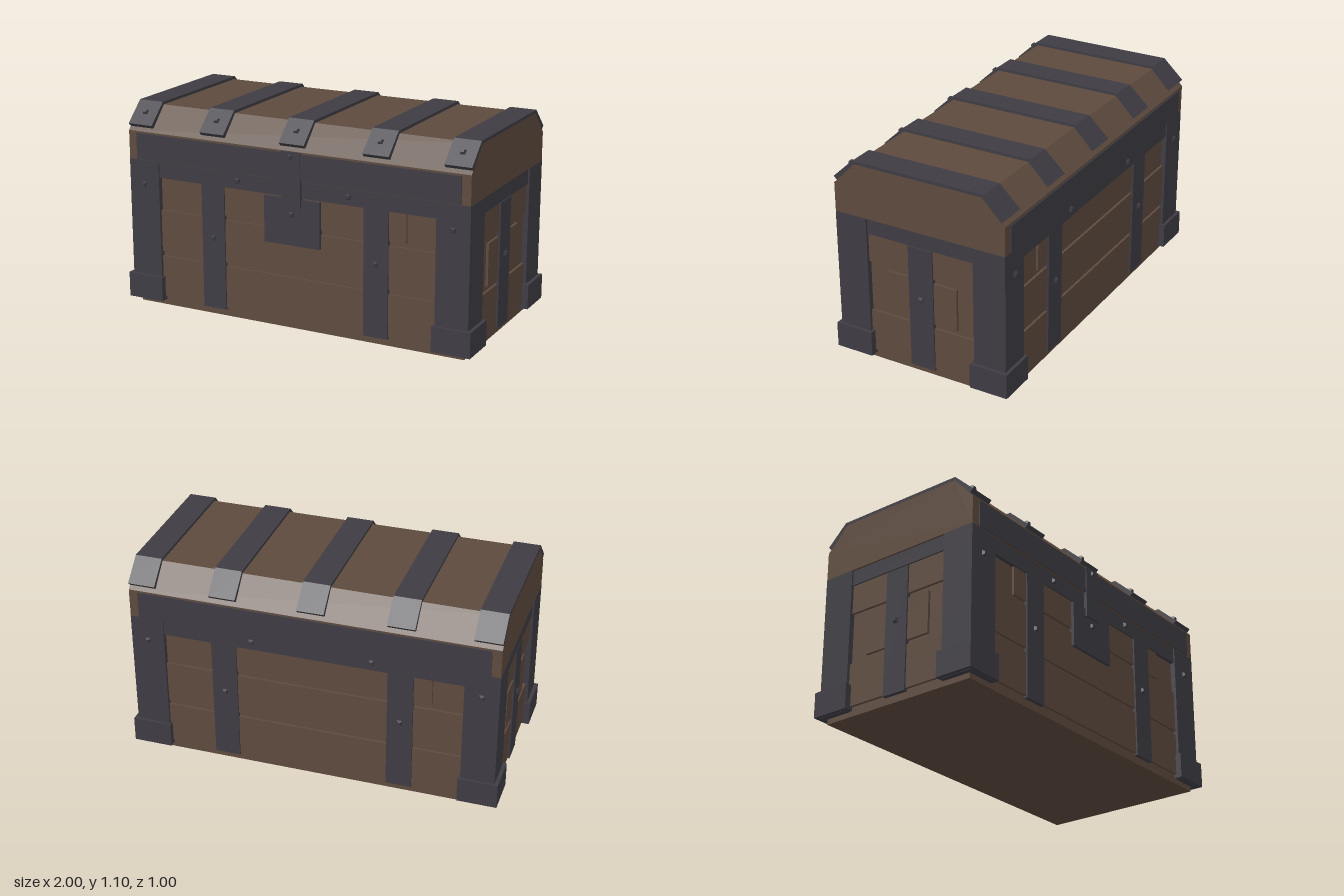
import * as THREE from 'three';

export function createModel() {
  const wood = new THREE.MeshStandardMaterial({ color: 0x5d4a3e });
  wood.name = 'brown wood';
  const iron = new THREE.MeshStandardMaterial({ color: 0x3e3c43 });
  iron.name = 'dark iron';

  const chest = new THREE.Group();
  chest.name = 'chest';

  const add = (name, geometry, material, parent = chest) => {
    const mesh = new THREE.Mesh(geometry, material);
    mesh.name = name;
    parent.add(mesh);
    return mesh;
  };

  // Box given by its minimum and maximum corners
  const box = (name, material, x0, x1, y0, y1, z0, z1, parent = chest) => {
    const mesh = add(name, new THREE.BoxGeometry(x1 - x0, y1 - y0, z1 - z0), material, parent);
    mesh.position.set((x0 + x1) / 2, (y0 + y1) / 2, (z0 + z1) / 2);
    return mesh;
  };

  // Extrudes a [z, y] outline along x, centred on x
  const prism = (name, material, outline, x, width) => {
    const shape = new THREE.Shape(outline.map(([z, y]) => new THREE.Vector2(z, y)));
    const geometry = new THREE.ExtrudeGeometry(shape, { depth: width, bevelEnabled: false });
    geometry.translate(0, 0, -width / 2).rotateY(-Math.PI / 2);
    const mesh = add(name, geometry, material);
    mesh.position.x = x;
    return mesh;
  };

  // Four-sided stud standing on a +z surface
  const studGeometry = new THREE.CylinderGeometry(0.01, 0.02, 0.014, 4)
    .rotateY(Math.PI / 4).rotateX(Math.PI / 2).translate(0, 0, 0.006).toNonIndexed();
  studGeometry.computeVertexNormals();
  const stud = (x, y, z, parent = chest) => {
    const mesh = add('stud', studGeometry, iron, parent);
    mesh.position.set(x, y, z);
    return mesh;
  };

  // Wooden core
  box('body', wood, -0.95, 0.95, 0, 0.8, -0.455, 0.455);

  // Planks, bands and studs of the front and back
  for (const turn of [0, Math.PI]) {
    const wall = new THREE.Group();
    wall.name = turn ? 'backWall' : 'frontWall';
    wall.rotation.y = turn;
    chest.add(wall);
    for (const [y0, y1, half] of [[0.05, 0.28, 0.85], [0.305, 0.535, 0.85], [0.56, 0.78, 0.635]])
      box('plank', wood, -half, half, y0, y1, 0.44, 0.468, wall);
    box('rimBand', iron, -0.81, 0.81, 0.715, 0.8, 0.44, 0.476, wall);
    box('lidBand', iron, -0.93, 0.93, 0.805, 0.947, 0.47, 0.489, wall);
    for (const s of [-1, 1]) {
      box('uprightBand', iron, s * 0.472 - 0.068, s * 0.472 + 0.068, 0.04, 0.715, 0.44, 0.476, wall);
      stud(s * 0.472, 0.43, 0.476, wall);
      stud(s * 0.32, 0.76, 0.476, wall);
      stud(s * 0.89, 0.67, 0.483, wall);
    }
  }

  // Planks, bands and studs of the two ends
  for (const s of [-1, 1]) {
    const wall = new THREE.Group();
    wall.name = s > 0 ? 'leftEnd' : 'rightEnd';
    wall.rotation.y = s * Math.PI / 2;
    chest.add(wall);
    for (const [y0, y1, half] of [[0.05, 0.28, 0.32], [0.305, 0.533, 0.2], [0.56, 0.78, 0.32]])
      box('endPlank', wood, -half, half, y0, y1, 0.93, 0.964, wall);
    box('endRimBand', iron, -0.303, 0.303, 0.717, 0.8, 0.93, 0.972, wall);
    box('endUprightBand', iron, -0.069, 0.069, 0.038, 0.712, 0.93, 0.972, wall);
    stud(0, 0.427, 0.972, wall);
  }

  // Corner posts and shoes
  for (const sx of [-1, 1]) for (const sz of [-1, 1]) {
    const post = box('cornerPost', iron, -0.09, 0.09, 0.028, 0.802, -0.089, 0.089);
    post.position.x = sx * 0.89;
    post.position.z = sz * 0.394;
    const shoe = box('cornerShoe', iron, -0.105, 0.105, 0.03, 0.165, -0.105, 0.105);
    shoe.position.x = sx * 0.895;
    shoe.position.z = sz * 0.395;
  }

  // Lid with sloping front and back
  prism('lid', wood, [
    [0.483, 0.802], [0.483, 0.957], [0.36, 1.085],
    [-0.36, 1.085], [-0.483, 0.957], [-0.483, 0.802],
  ], 0, 1.958);

  // Iron straps bent over the lid
  const half = [[0.465, 0.975], [0.483, 0.993], [0.369, 1.1]];
  const outer = [...half, ...half.map(([z, y]) => [-z, y]).reverse()];
  const strapOutline = [...outer, [-0.36, 1.084], [0.36, 1.084]];
  for (const x of [-0.908, -0.47, 0, 0.47, 0.908]) {
    prism('lidStrap', iron, strapOutline, x, 0.144);
    stud(x, 1.049, 0.424).rotation.x = -Math.PI / 4;
  }

  // Lock plate and hasp
  box('lockPlate', iron, -0.16, 0.16, 0.46, 0.708, 0.45, 0.484);
  box('hasp', iron, -0.055, 0.055, 0.665, 0.955, 0.46, 0.494);
  stud(0, 0.93, 0.492);
  stud(0, 0.625, 0.484);

  return chest;
}
